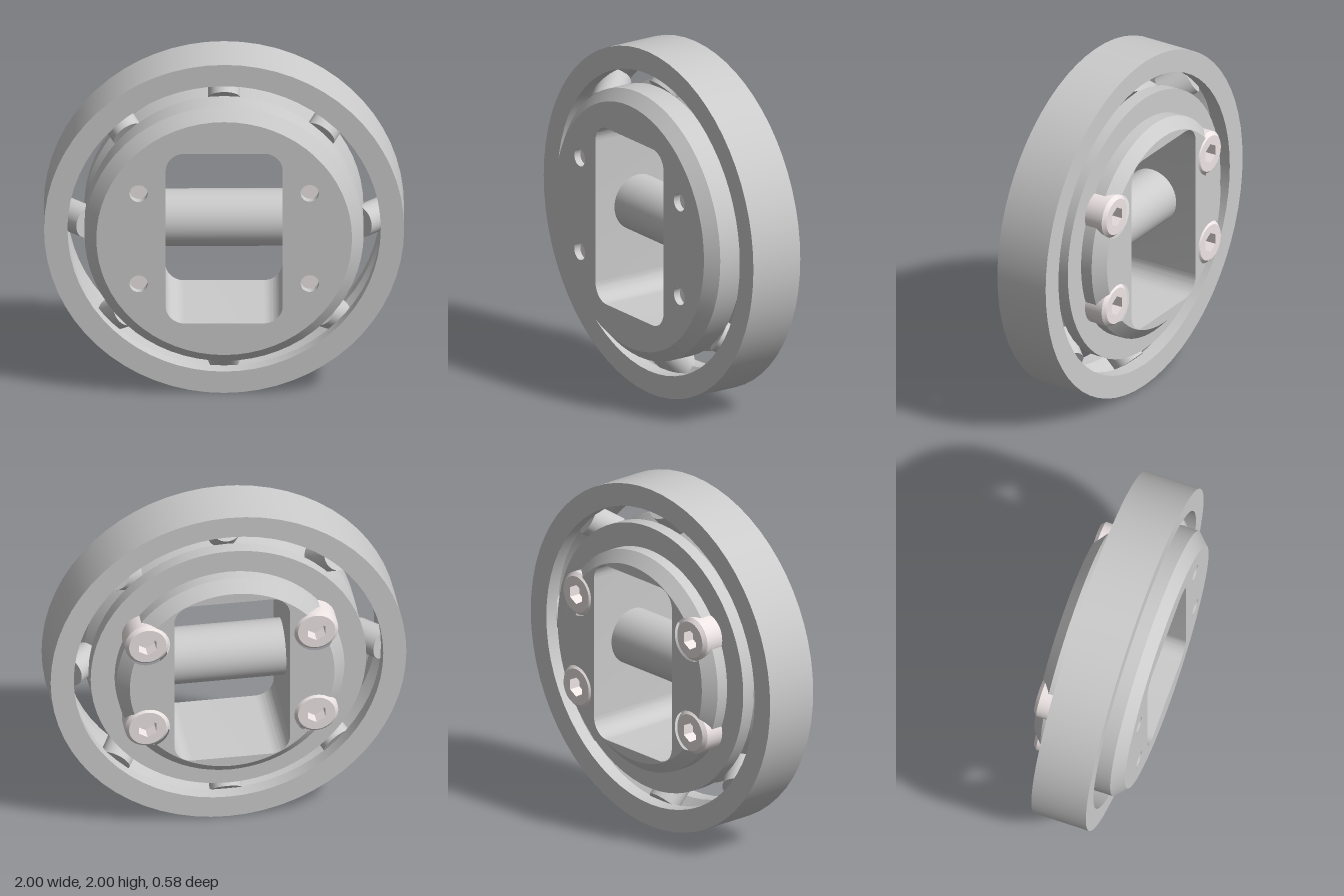
import * as THREE from 'three';
import { mergeGeometries, toCreasedNormals } from 'three/addons/utils/BufferGeometryUtils.js';
import { ParametricGeometry } from 'three/addons/geometries/ParametricGeometry.js';

const grey = new THREE.MeshStandardMaterial({ color: 0xcccccc });
const steel = new THREE.MeshStandardMaterial({ color: 0xeee5e5 });
const SEG = 64;

// Bolt layout: four bolts at angles around the axis
const BX = 0.475, BY = 0.275, HEAD = 0.125;
const D = Math.hypot(BX, BY), PHI = Math.atan2(BY, BX);
const boltAngles = [PHI, Math.PI - PHI, Math.PI + PHI, 2 * Math.PI - PHI];

function mesh(name, geometry, material = grey) {
  const m = new THREE.Mesh(geometry, material);
  m.name = name;
  return m;
}

// Turned part around z from [radius, z] points, with sharp edges between segments
function turned(points, segments = SEG) {
  const strips = [];
  for (let i = 0; i < points.length - 1; i++) {
    const pair = [points[i], points[i + 1]].map(p => new THREE.Vector2(...p));
    strips.push(new THREE.LatheGeometry(pair, segments));
  }
  return mergeGeometries(strips).rotateX(Math.PI / 2);
}

function circlePath(x, y, r) {
  return new THREE.Path().absarc(x, y, r, 0, Math.PI * 2, true);
}

// Rounded rectangular window through the hub
function windowPath() {
  const w = 0.325, h = 0.517, r = 0.105;
  const p = new THREE.Path();
  p.moveTo(w, -h + r);
  p.absarc(w - r, h - r, r, 0, Math.PI / 2);
  p.absarc(-w + r, h - r, r, Math.PI / 2, Math.PI);
  p.absarc(-w + r, -h + r, r, Math.PI, Math.PI * 1.5);
  p.absarc(w - r, -h + r, r, Math.PI * 1.5, Math.PI * 2);
  return p;
}

// Inward-facing wall of the window
function windowWall(z0, z1) {
  const pts = windowPath().getPoints(10), pos = [];
  pts.forEach((a, i) => {
    const b = pts[(i + 1) % pts.length];
    if (a.distanceTo(b) < 1e-6) return;
    pos.push(a.x, a.y, z0, a.x, a.y, z1, b.x, b.y, z1);
    pos.push(a.x, a.y, z0, b.x, b.y, z1, b.x, b.y, z0);
  });
  const g = new THREE.BufferGeometry();
  g.setAttribute('position', new THREE.Float32BufferAttribute(pos, 3));
  g.computeVertexNormals();
  return toCreasedNormals(g, 0.5);
}

// Half angle that a bolt head cuts out of a circle of radius r
const biteAngle = r => Math.acos((r * r + D * D - HEAD * HEAD) / (2 * r * D));

// Back face of the hub with a bite for each bolt head
function backFace(r) {
  const a = biteAngle(r), s = new THREE.Shape();
  const beta = Math.atan2(r * Math.sin(a), r * Math.cos(a) - D);
  boltAngles.forEach((phi, i) => {
    const next = i < 3 ? boltAngles[i + 1] : boltAngles[0] + 2 * Math.PI;
    s.absarc(D * Math.cos(phi), D * Math.sin(phi), HEAD, phi - beta, phi + beta, true);
    s.absarc(0, 0, r, phi + a, next - a, false);
  });
  s.holes.push(windowPath());
  return new THREE.ShapeGeometry(s, 20).rotateY(Math.PI);
}

// Chamfered rim of the back step, running between the bolt heads
function backRim(profile) {
  const strips = [];
  boltAngles.forEach((phi, i) => {
    const next = i < 3 ? boltAngles[i + 1] : boltAngles[0] + 2 * Math.PI;
    for (let k = 0; k < profile.length - 1; k++) {
      const [r0, z0] = profile[k], [r1, z1] = profile[k + 1];
      strips.push(new ParametricGeometry((u, v, target) => {
        const r = r0 + (r1 - r0) * v, bite = biteAngle(r);
        const t = phi + bite + (next - phi - 2 * bite) * u;
        target.set(r * Math.cos(t), r * Math.sin(t), z0 + (z1 - z0) * v);
      }, 20, 4));
    }
  });
  return mergeGeometries(strips);
}

// Socket-head bolt along z, head at the back
function makeBolt() {
  const bolt = new THREE.Group();
  bolt.name = 'bolt';
  bolt.add(mesh('boltHead', turned([[HEAD - 0.02, -0.29], [HEAD, -0.27], [HEAD, -0.15]], 32), steel));

  const face = new THREE.Shape().absarc(0, 0, HEAD - 0.02, 0, Math.PI * 2);
  const hex = [];
  for (let i = 0; i < 6; i++) {
    const t = i * Math.PI / 3;
    hex.push(new THREE.Vector2(0.058 * Math.sin(t), 0.058 * Math.cos(t)));
  }
  face.holes.push(new THREE.Path(hex));
  const headFace = mesh('boltHeadFace', new THREE.ShapeGeometry(face, 16).rotateY(Math.PI), steel);
  headFace.position.z = -0.29;

  const socketMat = steel.clone();
  socketMat.side = THREE.BackSide;
  socketMat.flatShading = true;
  const socket = mesh('hexSocket', new THREE.CylinderGeometry(0.058, 0.058, 0.07, 6, 1, true).rotateX(Math.PI / 2), socketMat);
  socket.position.z = -0.255;
  const floor = mesh('socketFloor', new THREE.CircleGeometry(0.07, 24).rotateY(Math.PI), steel);
  floor.position.z = -0.22;

  const shank = mesh('boltShank', new THREE.CylinderGeometry(0.05, 0.05, 0.4, 24).rotateX(Math.PI / 2), steel);
  shank.position.z = 0.05;
  const wallMat = grey.clone();
  wallMat.side = THREE.BackSide;
  const wall = mesh('boltHoleWall', new THREE.CylinderGeometry(0.051, 0.051, 0.05, 24, 1, true).rotateX(Math.PI / 2), wallMat);
  wall.position.z = 0.265;
  bolt.add(headFace, socket, floor, shank, wall);
  return bolt;
}

export function createModel() {
  const model = new THREE.Group();
  model.name = 'rollerBearing';
  const core = new THREE.Group();
  core.name = 'bearingAssembly';
  core.position.y = 1;
  model.add(core);

  // Outer race with a V groove inside
  core.add(mesh('outerRing', turned([
    [1, -0.16], [1, 0.16], [0.87, 0.16], [0.87, 0.077], [0.947, 0],
    [0.87, -0.077], [0.87, -0.16], [1, -0.16],
  ])));

  // Hub with a matching groove, chamfered front flange and back step
  const hub = new THREE.Group();
  hub.name = 'hub';
  hub.add(mesh('hubBody', turned([
    [0.63, -0.16], [0.775, -0.16], [0.775, -0.082], [0.693, 0],
    [0.775, 0.082], [0.775, 0.225], [0.71, 0.29],
  ])));
  const front = new THREE.Shape().absarc(0, 0, 0.71, 0, Math.PI * 2);
  front.holes.push(windowPath());
  for (const t of boltAngles) front.holes.push(circlePath(D * Math.cos(t), D * Math.sin(t), 0.051));
  const frontFace = mesh('hubFrontFace', new THREE.ShapeGeometry(front, 32));
  frontFace.position.z = 0.29;
  const rear = mesh('hubBackFace', backFace(0.575));
  rear.position.z = -0.29;
  hub.add(frontFace, rear);
  hub.add(mesh('hubBackRim', backRim([[0.575, -0.29], [0.64, -0.23], [0.64, -0.16]])));
  hub.add(mesh('hubWindowWall', windowWall(-0.29, 0.29)));
  core.add(hub);

  // Cross pin through the window
  core.add(mesh('crossPin', new THREE.CylinderGeometry(0.16, 0.16, 0.68, 48).rotateZ(Math.PI / 2)));

  // Eight rollers tilted 45 degrees in the groove
  for (let i = 0; i < 8; i++) {
    const spoke = new THREE.Group();
    spoke.name = 'rollerMount';
    spoke.rotation.z = i * Math.PI / 4;
    const roller = mesh('roller', new THREE.CylinderGeometry(0.09, 0.09, 0.18, 32));
    roller.position.y = 0.82;
    roller.rotation.x = -Math.PI / 4;
    spoke.add(roller);
    core.add(spoke);
  }

  // Four clamping bolts
  for (const t of boltAngles) {
    const bolt = makeBolt();
    bolt.position.set(D * Math.cos(t), D * Math.sin(t), 0);
    core.add(bolt);
  }
  return model;
}
